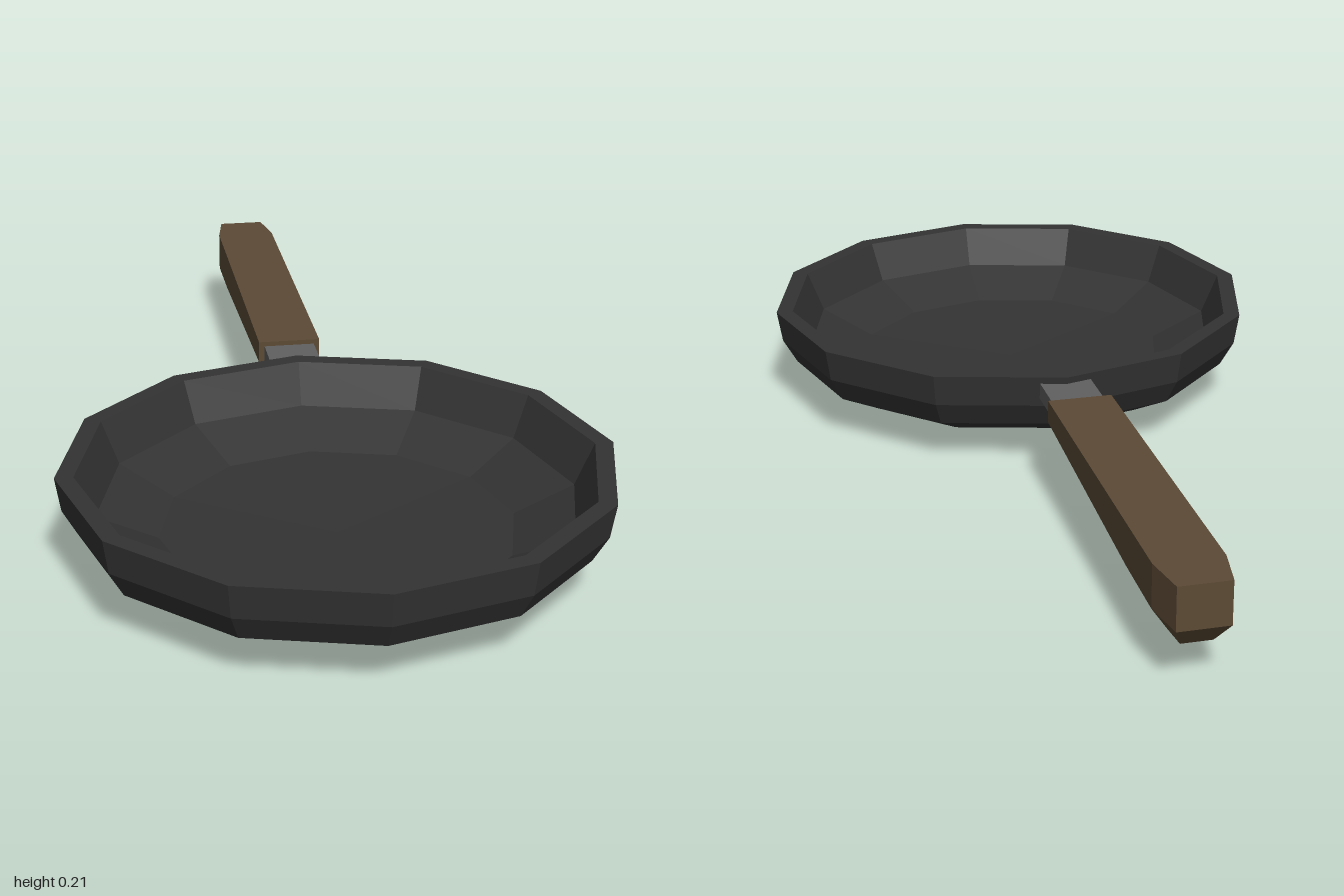
import * as THREE from 'three';

const flat = (color) => new THREE.MeshStandardMaterial({ color, flatShading: true });

function makeMesh(name, geometry, color) {
  const faceted = geometry.index ? geometry.toNonIndexed() : geometry;
  faceted.computeVertexNormals();
  const mesh = new THREE.Mesh(faceted, flat(color));
  mesh.name = name;
  return mesh;
}

// Six-sided bar: flat top, upright upper sides, lower sides sloping in to a narrow underside.
// Sections run from front to back; bottomZ lets the underside end early.
function barGeometry(sections) {
  const points = [];
  const index = [];
  for (const { z, bottomZ = z, w, top, mid, b, bottom } of sections) {
    points.push(w, top, z, -w, top, z, -w, mid, z, -b, bottom, bottomZ, b, bottom, bottomZ, w, mid, z);
  }
  for (let k = 0; k < sections.length - 1; k++) {
    for (let i = 0; i < 6; i++) {
      const a = k * 6 + i, n = k * 6 + (i + 1) % 6;
      index.push(a, a + 6, n + 6, a, n + 6, n);
    }
  }
  // end caps
  const last = (sections.length - 1) * 6;
  for (let i = 0; i < 4; i++) {
    const j = (i + 5) % 6, n = (i + 6) % 6;
    index.push(5, n, n + 1);
    if (j !== n) index.push(last + 5, last + n + 1, last + n);
  }
  const geometry = new THREE.BufferGeometry();
  geometry.setAttribute('position', new THREE.Float32BufferAttribute(points, 3));
  geometry.setIndex(index);
  return geometry;
}

export function createModel() {
  const group = new THREE.Group();
  group.name = 'fryingPan';

  // Twelve-sided bowl: up the outside, over the rim, down the inside
  const profile = [
    [0, 0], [0.205, 0.016], [0.4, 0.043], [0.495, 0.092], [0.525, 0.145], [0.536, 0.213],
    [0.5, 0.213], [0.463, 0.128], [0.345, 0.075], [0, 0.06],
  ].map(([r, y]) => new THREE.Vector2(r, y));
  const bowl = makeMesh('bowl', new THREE.LatheGeometry(profile, 12), 0x333333);
  bowl.position.z = 0.464;
  group.add(bowl);

  // Metal neck between bowl and handle
  const neck = { w: 0.054, top: 0.198, mid: 0.163, b: 0.032, bottom: 0.124 };
  group.add(makeMesh('neck', barGeometry([
    { ...neck, z: -0.05 },
    { ...neck, z: -0.19 },
  ]), 0x606060));

  // Wooden handle, deepening towards a chamfered end
  group.add(makeMesh('handle', barGeometry([
    { z: -0.172, w: 0.066, top: 0.208, mid: 0.161, b: 0.036, bottom: 0.12 },
    { z: -0.75, w: 0.066, top: 0.208, mid: 0.125, b: 0.036, bottom: 0.084 },
    { z: -0.91, w: 0.066, top: 0.208, mid: 0.122, b: 0.036, bottom: 0.078 },
    { z: -1.0, bottomZ: -0.962, w: 0.05, top: 0.208, mid: 0.122, b: 0.03, bottom: 0.077 },
  ]), 0x5c4a35));

  return group;
}
